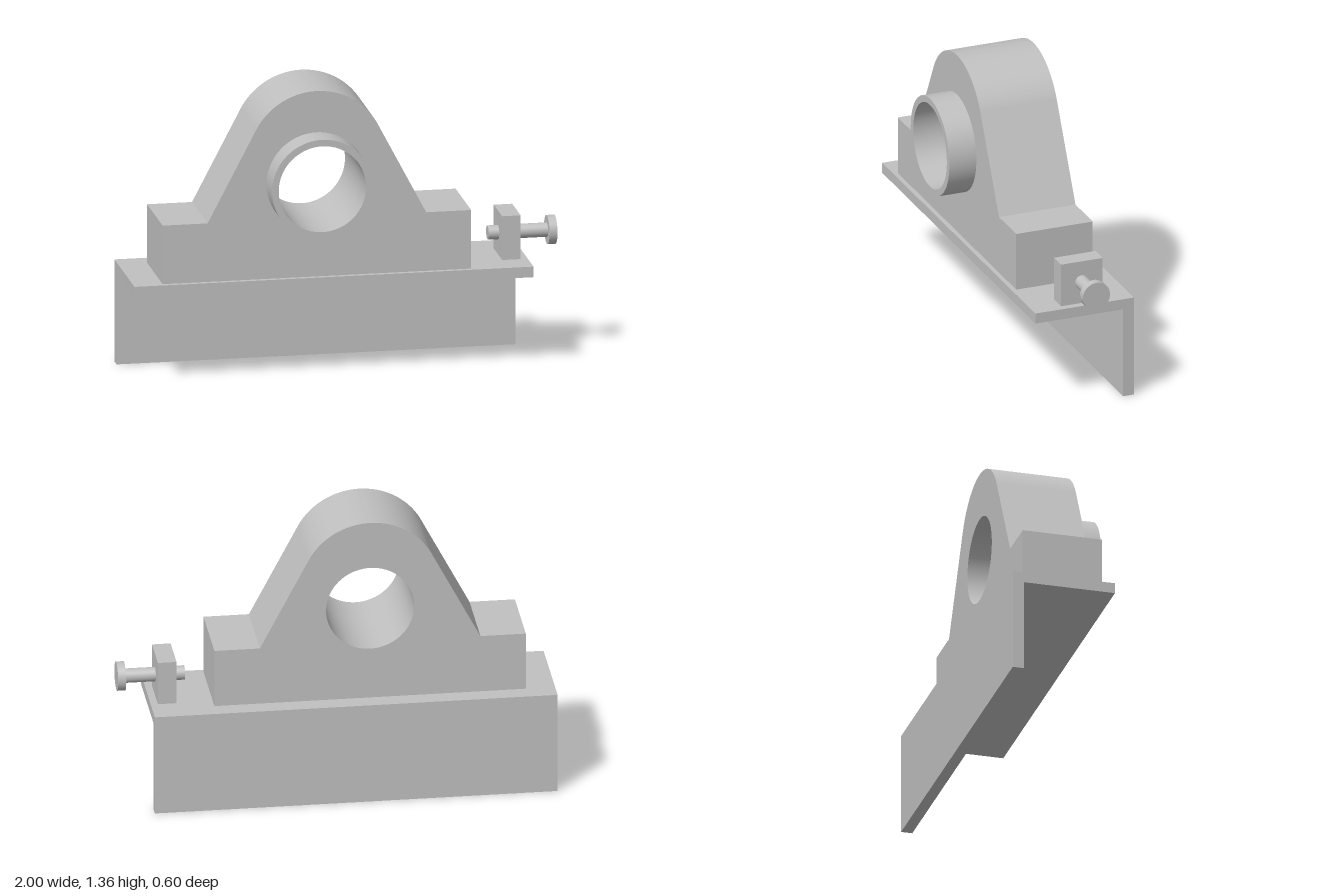
import * as THREE from 'three';
import { toCreasedNormals } from 'three/addons/utils/BufferGeometryUtils.js';

const steel = new THREE.MeshStandardMaterial({ color: 0xc0c0c0 });
steel.name = 'light grey steel';

const HUB_X = -0.148; // centre line of the bearing
const BORE_Y = 0.931;
const BORE_R = 0.203;
const PLATE_TOP = 0.483;

function add(group, name, geometry, x = 0, y = 0, z = 0) {
  const mesh = new THREE.Mesh(geometry, steel);
  mesh.name = name;
  mesh.position.set(x, y, z);
  group.add(mesh);
  return mesh;
}

function extrude(shape, depth) {
  const geometry = new THREE.ExtrudeGeometry(shape, { depth, bevelEnabled: false, curveSegments: 40 });
  return toCreasedNormals(geometry, 0.5);
}

function circleHole(y, r) {
  const hole = new THREE.Path();
  hole.absarc(0, y, r, 0, Math.PI * 2, true);
  return hole;
}

export function createModel() {
  const model = new THREE.Group();
  model.name = 'bearingBlock';

  // Angle bracket: L section swept along x (shape x is -z)
  const section = new THREE.Shape([
    [-0.187, 0.433], [0.245, 0.433], [0.245, 0], [0.298, 0], [0.298, PLATE_TOP], [-0.187, PLATE_TOP],
  ].map(([x, y]) => new THREE.Vector2(x, y)));
  add(model, 'angleBracket', extrude(section, 1.855).rotateY(Math.PI / 2), -1);

  // Housing: feet, sloping sides tangent to a round top, bored through
  const tangent = THREE.MathUtils.degToRad(27.5);
  const body = new THREE.Shape();
  body.moveTo(-0.717, PLATE_TOP);
  body.lineTo(0.717, PLATE_TOP);
  body.lineTo(0.717, 0.76);
  body.lineTo(0.508, 0.76);
  body.absarc(0, 1.04, 0.32, tangent, Math.PI - tangent, false);
  body.lineTo(-0.508, 0.76);
  body.lineTo(-0.717, 0.76);
  body.closePath();
  body.holes.push(circleHole(BORE_Y, BORE_R));
  add(model, 'housing', extrude(body, 0.377), HUB_X, 0, -0.212);

  // Collar around the bore at the front
  const ring = new THREE.Shape();
  ring.absarc(0, BORE_Y, 0.234, 0, Math.PI * 2, false);
  ring.holes.push(circleHole(BORE_Y, BORE_R));
  add(model, 'collar', extrude(ring, 0.133), HUB_X, 0, 0.165);

  // Adjusting screw in its lug
  const screw = new THREE.Group();
  screw.name = 'adjustingScrew';
  screw.position.set(0, 0.588, -0.055);
  model.add(screw);
  add(screw, 'lug', new THREE.BoxGeometry(0.086, 0.207, 0.205), 0.779, -0.0015, 0);
  const rod = (name, r, x0, x1) => add(screw, name,
    new THREE.CylinderGeometry(r, r, x1 - x0, 40).rotateZ(-Math.PI / 2), (x0 + x1) / 2);
  rod('screwShank', 0.033, 0.687, 0.964);
  rod('screwHead', 0.067, 0.963, 1);

  return model;
}
